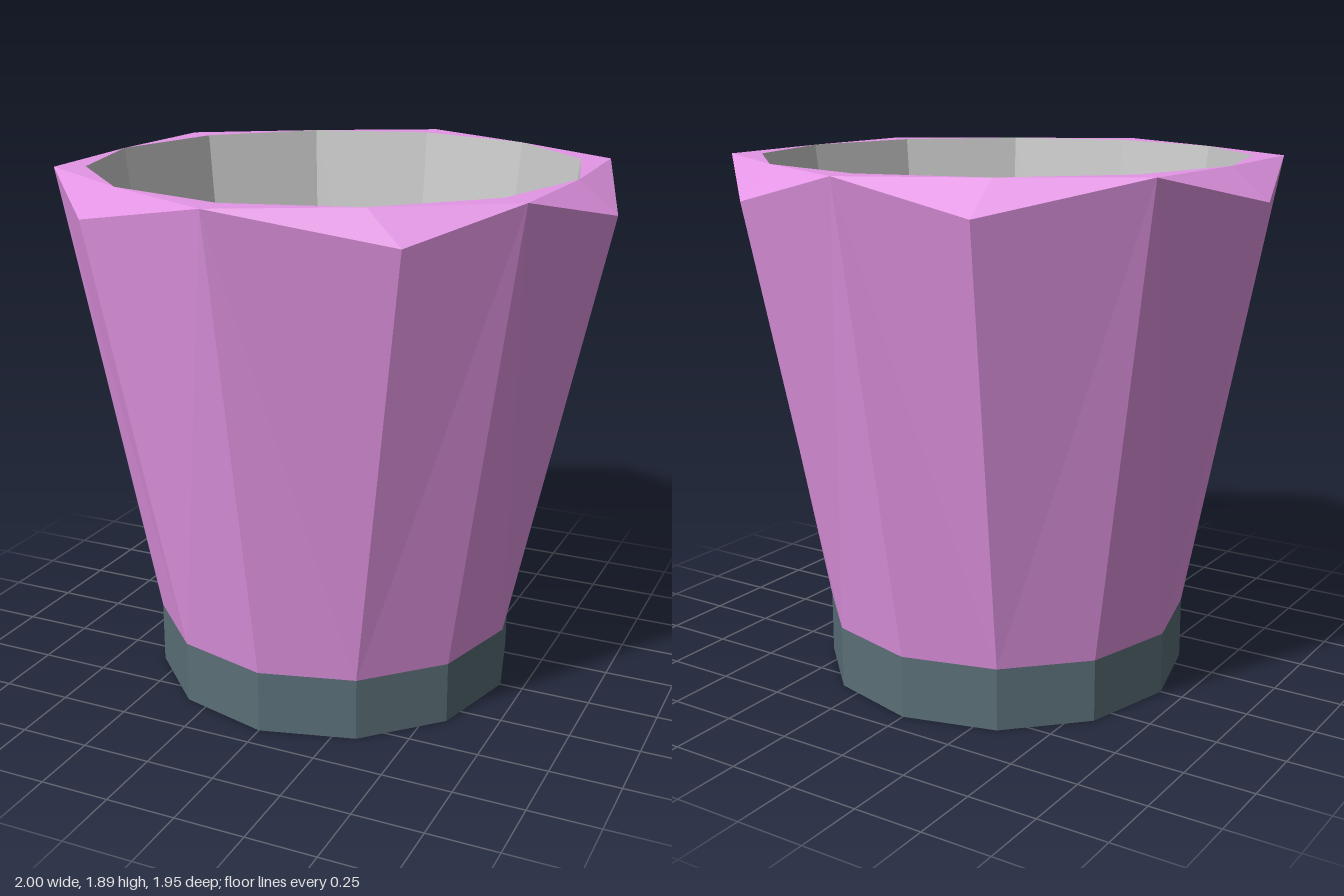
import * as THREE from 'three';

const SIDES = 12, BASE_R = 0.665, BASE_H = 0.225, TOP = 1.89, DIP = 1.78, INNER_R = 0.867;

const material = (color, side = THREE.FrontSide) =>
  new THREE.MeshStandardMaterial({ color, side, flatShading: true });

function addMesh(group, name, geometry, mat) {
  const mesh = new THREE.Mesh(geometry, mat);
  mesh.name = name;
  group.add(mesh);
  return mesh;
}

// Ring of corner points, starting at +x and turning towards +z
function ring(radius, height) {
  return Array.from({ length: SIDES }, (_, i) => {
    const a = (i / SIDES) * Math.PI * 2;
    return new THREE.Vector3(radius * Math.cos(a), height, radius * Math.sin(a));
  });
}

function facets(triangles) {
  const geometry = new THREE.BufferGeometry().setFromPoints(triangles.flat());
  geometry.computeVertexNormals();
  return geometry;
}

// Outer rim: raised corners alternate with dipped ones that bulge unevenly
function outerRim() {
  const rim = ring(0.975, TOP);
  for (let i = 0; i < SIDES; i += 2) rim[i].y = DIP;
  rim[0].set(1, DIP, 0);
  rim[6].set(-1, DIP, 0);
  for (const [i, x, z] of [[2, 0.557, 0.775], [4, -0.557, 0.775], [8, -0.444, -0.888], [10, 0.444, -0.888]])
    rim[i].set(x, DIP, z);
  return rim;
}

export function createModel() {
  const group = new THREE.Group();
  const pink = material(0xe596e6);
  const slate = material(0x5a6e77);

  // Foot
  const foot = addMesh(group, 'base', new THREE.CylinderGeometry(BASE_R, BASE_R, BASE_H, SIDES), slate);
  foot.position.y = BASE_H / 2;

  // Faceted outer wall and rim; diagonals always leave the raised corner
  const bottom = ring(BASE_R, BASE_H), inner = ring(INNER_R, TOP), outer = outerRim();
  const wall = [], lip = [];
  for (let i = 0; i < SIDES; i++) {
    const j = (i + 1) % SIDES;
    if (i % 2) {
      wall.push([bottom[i], outer[i], bottom[j]], [outer[i], outer[j], bottom[j]]);
      lip.push([inner[i], inner[j], outer[i]], [inner[j], outer[j], outer[i]]);
    } else {
      wall.push([bottom[i], outer[i], outer[j]], [bottom[i], outer[j], bottom[j]]);
      lip.push([inner[i], inner[j], outer[j]], [inner[i], outer[j], outer[i]]);
    }
  }
  addMesh(group, 'outerWall', facets(wall), pink);
  addMesh(group, 'rim', facets(lip), pink);

  // Hollow inside
  const lining = addMesh(group, 'innerWall',
    new THREE.CylinderGeometry(INNER_R, BASE_R, TOP - BASE_H, SIDES, 1, true),
    material(0xcccccc, THREE.BackSide));
  lining.position.y = (TOP + BASE_H) / 2;
  const floor = addMesh(group, 'innerFloor', new THREE.CircleGeometry(BASE_R, SIDES), material(0xcccccc));
  floor.rotation.x = -Math.PI / 2;
  floor.position.y = BASE_H + 0.004;

  return group;
}
